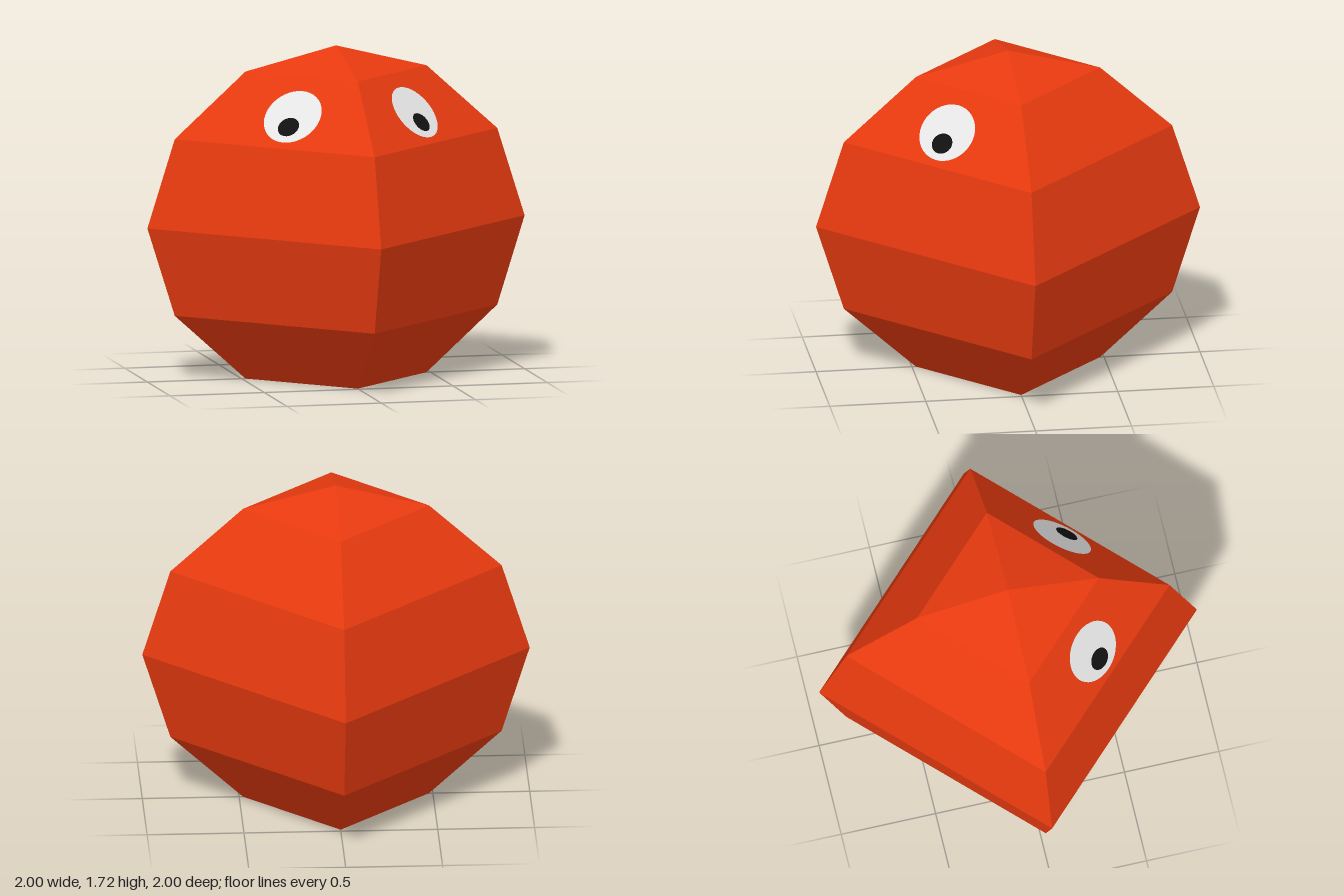
import * as THREE from 'three';

const flat = (name, color, flatShading = false) => {
  const material = new THREE.MeshStandardMaterial({ color, flatShading });
  material.name = name;
  return material;
};

export function createModel() {
  const red = flat('body red', 0xff4112, true);
  const white = flat('eye white', 0xfdfdfd);
  const black = flat('pupil black', 0x111111);

  const model = new THREE.Group();
  model.name = 'blockCreature';

  // Four-sided faceted body: corners on the axes, flat base, pointed crown
  const profile = [[0, 0], [0.48, 0], [0.855, 0.34], [1, 0.8], [0.855, 1.26], [0.48, 1.6], [0, 1.72]]
    .map(([r, y]) => new THREE.Vector2(r, y));
  const body = new THREE.Mesh(new THREE.LatheGeometry(profile, 4), red);
  body.name = 'body';
  model.add(body);

  // The sloped brow faces carry the eyes
  const [low, high] = [profile[4], profile[5]];
  const slope = Math.atan2((low.x - high.x) * Math.SQRT1_2, high.y - low.y);

  // Thin disc lying on the brow face of one side (+1 left, -1 right)
  function addDisc(name, material, side, x, y, width, height, lift) {
    const radius = THREE.MathUtils.mapLinear(y, low.y, high.y, low.x, high.x);
    const disc = new THREE.Mesh(new THREE.CircleGeometry(1, 40), material);
    disc.name = name;
    disc.scale.set(width, height, 1);
    disc.position.set(side * x, y, radius - x);
    disc.rotation.set(-slope, side * Math.PI / 4, 0, 'YXZ');
    disc.translateZ(lift);
    model.add(disc);
  }

  // Eyes, set slightly unevenly
  addDisc('leftEye', white, 1, 0.328, 1.41, 0.165, 0.155, 0.004);
  addDisc('leftPupil', black, 1, 0.354, 1.36, 0.061, 0.055, 0.007);
  addDisc('rightEye', white, -1, 0.317, 1.41, 0.165, 0.155, 0.004);
  addDisc('rightPupil', black, -1, 0.345, 1.36, 0.061, 0.055, 0.007);

  return model;
}
